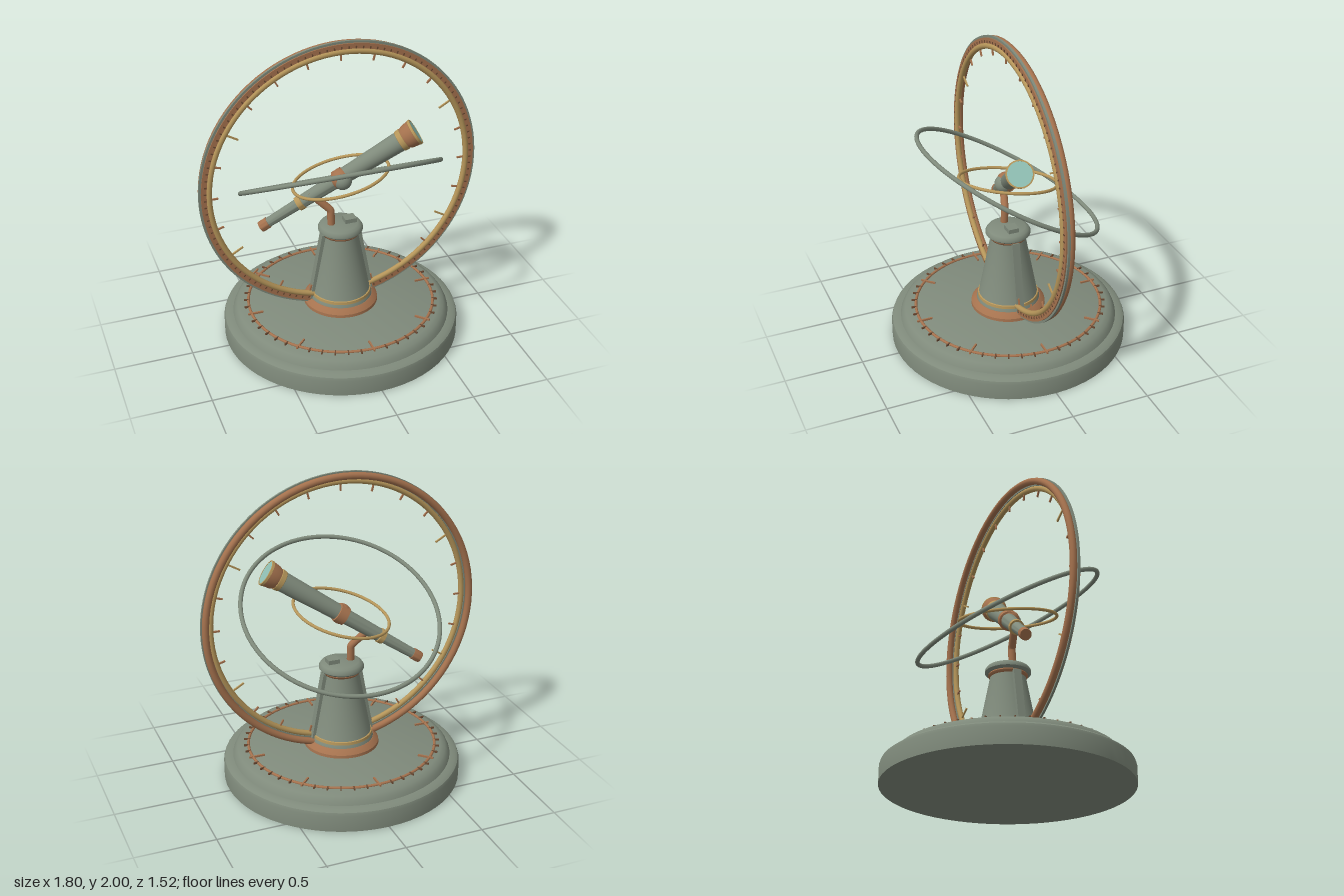
import * as THREE from 'three';
import { toCreasedNormals } from 'three/addons/utils/BufferGeometryUtils.js';

const mat = (name, color) => Object.assign(new THREE.MeshStandardMaterial({ color }), { name });

export function createModel() {
  const model = new THREE.Group();
  model.name = 'armillaryTelescope';
  const verdigris = mat('greyGreen', 0x7f8a7b);
  const copper = mat('copper', 0xa5724e);
  const brass = mat('brass', 0xb6965a);
  const bronze = mat('darkBronze', 0x6b4a33);
  const glass = mat('paleGlass', 0x92c2b6);

  const add = (parent, name, geo, material, x = 0, y = 0, z = 0) => {
    const m = new THREE.Mesh(geo, material);
    m.name = name;
    m.position.set(x, y, z);
    parent.add(m);
    return m;
  };
  const lathe = (pts, seg = 48) =>
    toCreasedNormals(new THREE.LatheGeometry(pts.map(p => new THREE.Vector2(...p)), seg), 0.6);
  const torus = (r, t) => new THREE.TorusGeometry(r, t, 12, 96);
  const flatRing = (outer, inner, depth) => {
    const s = new THREE.Shape().absarc(0, 0, outer, 0, Math.PI * 2);
    s.holes.push(new THREE.Path().absarc(0, 0, inner, 0, Math.PI * 2, true));
    return toCreasedNormals(
      new THREE.ExtrudeGeometry(s, { depth, bevelEnabled: false, curveSegments: 64 }), 0.6);
  };
  // Radial bars in the XY plane of their parent
  const tick = (parent, name, angle, r0, r1, width, depth, material, z = 0) => {
    const r = (r0 + r1) / 2;
    const m = add(parent, name, new THREE.BoxGeometry(r1 - r0, width, depth), material,
      Math.cos(angle) * r, Math.sin(angle) * r, z);
    m.rotation.z = angle;
  };

  // Stepped round base
  add(model, 'base', lathe([[0, 0], [0.76, 0], [0.76, 0.105], [0.753, 0.125], [0.735, 0.138],
    [0.7, 0.142], [0.69, 0.165], [0.67, 0.19], [0.64, 0.203], [0, 0.203]], 64), verdigris);

  // Graduated dial on the base
  const dial = new THREE.Group();
  dial.name = 'baseDial';
  dial.position.y = 0.206;
  dial.rotation.x = -Math.PI / 2;
  model.add(dial);
  add(dial, 'dialRing', torus(0.6, 0.009), copper);
  for (let i = 0; i < 48; i++) {
    const a = i * Math.PI / 24;
    if (i % 6 === 0) tick(dial, 'majorDialTick', a, 0.525, 0.625, 0.01, 0.012, copper, 0.003);
    else tick(dial, 'minorDialTick', a, 0.595, 0.63, 0.008, 0.012, bronze, 0.004);
  }

  // Pedestal, bands and cap
  add(model, 'pedestalFoot', lathe([[0.24, 0.2], [0.238, 0.222], [0.222, 0.24], [0.206, 0.252], [0, 0.252]]), copper);
  add(model, 'pedestalColumn', lathe([[0.204, 0.25], [0.198, 0.27], [0.188, 0.29], [0.11, 0.7], [0, 0.7]]), verdigris);
  add(model, 'pedestalBand', lathe([[0.19, 0.268], [0.197, 0.272], [0.195, 0.29], [0.185, 0.293]]), brass);
  add(model, 'neckBand', lathe([[0.1, 0.69], [0.115, 0.697], [0.123, 0.71], [0.12, 0.722]]), copper);
  add(model, 'pedestalCap', lathe([[0.1, 0.716], [0.13, 0.718], [0.142, 0.73], [0.142, 0.745],
    [0.13, 0.763], [0.11, 0.772], [0, 0.772]]), verdigris);
  add(model, 'capBlock', new THREE.BoxGeometry(0.075, 0.03, 0.07), verdigris, 0.06, 0.785, 0);

  // Slanted ribs on both sides of the column
  for (const s of [-1, 1]) {
    const rib = add(model, 'pedestalRib', new THREE.BoxGeometry(0.05, 0.5, 0.05), verdigris, s * 0.15, 0.46, 0);
    rib.rotation.z = s * 0.18;
  }

  // Upright graduated circle
  const meridian = new THREE.Group();
  meridian.name = 'meridianRing';
  meridian.position.y = 1.1;
  model.add(meridian);
  add(meridian, 'rearHoop', torus(0.875, 0.022), copper, 0, 0, -0.016);
  add(meridian, 'outerHoop', flatRing(0.9, 0.85, 0.014), verdigris);
  add(meridian, 'scaleBand', flatRing(0.886, 0.845, 0.008), copper, 0, 0, 0.014);
  add(meridian, 'innerHoop', torus(0.836, 0.018), brass, 0, 0, 0.016);
  for (let i = 0; i < 120; i++)
    tick(meridian, 'scaleMark', i * Math.PI / 60, 0.855, 0.87, 0.008, 0.006, bronze, 0.023);
  for (let i = 0; i < 24; i++) {
    const long = [2, 10, 14, 22].includes(i);
    tick(meridian, 'innerTick', i * Math.PI / 12, long ? 0.74 : 0.78, 0.825, 0.01, 0.01,
      long ? brass : copper, 0.012);
  }

  // Tilted inner circles
  const ecliptic = add(model, 'eclipticRing', torus(0.627, 0.014), verdigris, 0, 1.1, 0);
  ecliptic.rotation.x = Math.PI / 3;
  const small = add(model, 'smallRing', torus(0.306, 0.01), brass, 0, 1.1, 0);
  small.quaternion.setFromUnitVectors(new THREE.Vector3(0, 0, 1), new THREE.Vector3(-0.2, 1, -0.17).normalize());

  // Bent support arm
  const arm = new THREE.CurvePath();
  const p = [[-0.062, 0.76, 0], [-0.062, 0.87, -0.005], [-0.195, 1.0, -0.045]].map(v => new THREE.Vector3(...v));
  const bend0 = p[1].clone().lerp(p[0], 0.12), bend1 = p[1].clone().lerp(p[2], 0.1);
  arm.add(new THREE.LineCurve3(p[0], bend0));
  arm.add(new THREE.QuadraticBezierCurve3(bend0, p[1], bend1));
  arm.add(new THREE.LineCurve3(bend1, p[2]));
  add(model, 'supportArm', new THREE.TubeGeometry(arm, 32, 0.024, 14), copper);

  // Telescope, built along its own Y axis
  const scope = new THREE.Group();
  scope.name = 'telescope';
  scope.position.y = 1.09;
  scope.quaternion.setFromUnitVectors(new THREE.Vector3(0, 1, 0), new THREE.Vector3(0.812, 0.544, 0.207).normalize());
  model.add(scope);
  const part = (name, pts, m) => add(scope, name, lathe(pts, 32), m);
  part('eyepiece', [[0, -0.6], [0.033, -0.6], [0.036, -0.59], [0.036, -0.54], [0, -0.54]], copper);
  part('drawTube', [[0.031, -0.545], [0.036, -0.3]], verdigris);
  part('tubeCollar', [[0.03, -0.32], [0.046, -0.318], [0.048, -0.285], [0.04, -0.28]], brass);
  part('mainTube', [[0.042, -0.29], [0.047, -0.06], [0.052, 0.05], [0.064, 0.46]], verdigris);
  part('centreBand', [[0.045, -0.035], [0.06, -0.03], [0.06, 0.03], [0.045, 0.035]], copper);
  part('lensBand', [[0.06, 0.43], [0.067, 0.435], [0.07, 0.465], [0.064, 0.468]], brass);
  part('lensHood', [[0.064, 0.462], [0.076, 0.49], [0.082, 0.535], [0.076, 0.537]], copper);
  part('lensRim', [[0.078, 0.532], [0.084, 0.535], [0.084, 0.55], [0.075, 0.551], [0.075, 0.54]], brass);
  add(scope, 'lens', new THREE.CylinderGeometry(0.077, 0.077, 0.008, 32), glass, 0, 0.545, 0);

  // Pivot at the crossing of the circles
  add(model, 'pivotBall', new THREE.SphereGeometry(0.066, 24, 16), copper, 0, 1.09, 0.01);
  add(model, 'pivotKnob', new THREE.SphereGeometry(0.058, 24, 16), verdigris, 0.004, 1.085, 0.03);

  return model;
}
